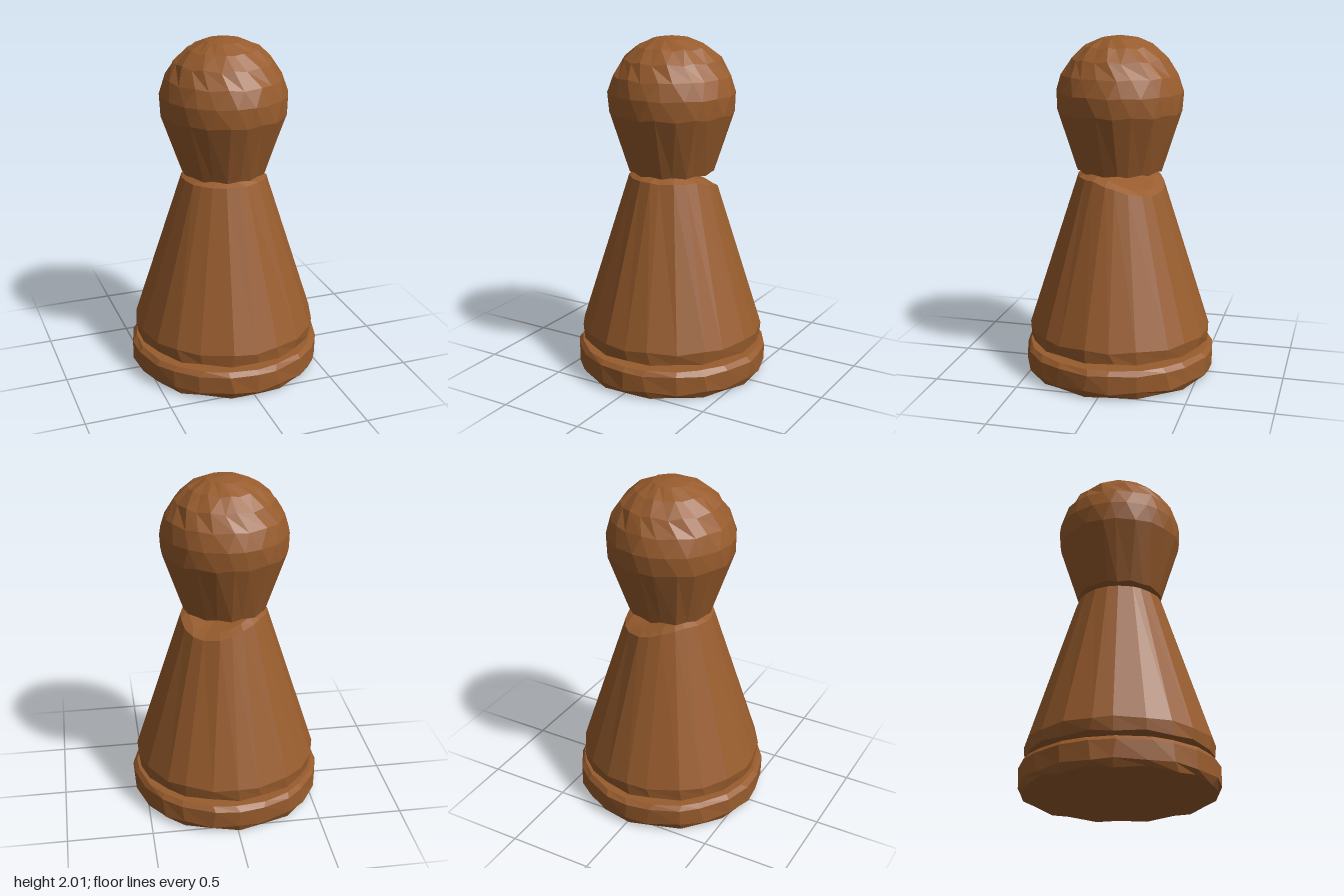
import * as THREE from 'three';

const SIDES = 22;
const wood = new THREE.MeshStandardMaterial({ color: 0x985c2d, flatShading: true });
wood.name = 'brown wood';

// Hand-carved solid of revolution: profile is [radius, height, angular twist in steps]
function carve(name, profile, amount, shape) {
  const points = profile.map(([r, y]) => new THREE.Vector2(r, y));
  const geo = new THREE.LatheGeometry(points, SIDES);
  const pos = geo.attributes.position;
  const n = profile.length;
  for (let i = 0; i < pos.count; i++) {
    const row = i % n;
    const col = Math.floor(i / n) % SIDES;
    let [r, y, twist = 0] = profile[row];
    const wobble = Math.sin(col * 2.4 + row * 0.7) * 0.6 + Math.sin(col * 5.3 + row * 1.9) * 0.4;
    const angle = ((col + twist + wobble * 0.2) / SIDES) * Math.PI * 2;
    if (r > 0) {
      r += wobble * amount;
      if (row > 0 && row < n - 2) y += Math.sin(col * 3.1 + row * 2.3) * amount * 1.5;
    }
    if (shape) [r, y] = shape(r, y, angle);
    pos.setXYZ(i, Math.sin(angle) * r, y, Math.cos(angle) * r);
  }
  const mesh = new THREE.Mesh(geo, wood);
  mesh.name = name;
  return mesh;
}

// Worn notch on the back left of the neck, following the cone as it drops
function wornNeck(r, y, angle) {
  if (y < 1.1 || r === 0) return [r, y];
  const side = Math.max(0, Math.cos(angle - Math.PI * 0.8));
  const drop = 0.085 * side * side;
  return [r + drop * 0.32, y - drop];
}

export function createModel() {
  const pawn = new THREE.Group();
  pawn.name = 'pawn';

  // Foot disc with worn edges
  pawn.add(carve('base', [
    [0, 0], [0.545, 0], [0.568, 0.035], [0.568, 0.138], [0.545, 0.165], [0, 0.165],
  ], 0.005));

  // Tapered body floating just above the foot
  pawn.add(carve('body', [
    [0, 0.2], [0.535, 0.2], [0.543, 0.27], [0.25, 1.185], [0.2, 1.21], [0, 1.212],
  ], 0.004, wornNeck));

  // Head: flared neck running into a faceted ball
  const head = [[0, 1.22], [0.248, 1.22], [0.366, 1.57], [0.37, 1.68, 0.5]];
  for (let i = 1; i <= 4; i++) {
    const a = 0.12 + (i / 5) * (Math.PI / 2 - 0.12);
    head.push([0.37 * Math.cos(a), 1.632 + 0.368 * Math.sin(a), (i % 2) * 0.5 + 0.5]);
  }
  head.push([0, 2]);
  pawn.add(carve('head', head, 0.004));

  return pawn;
}
